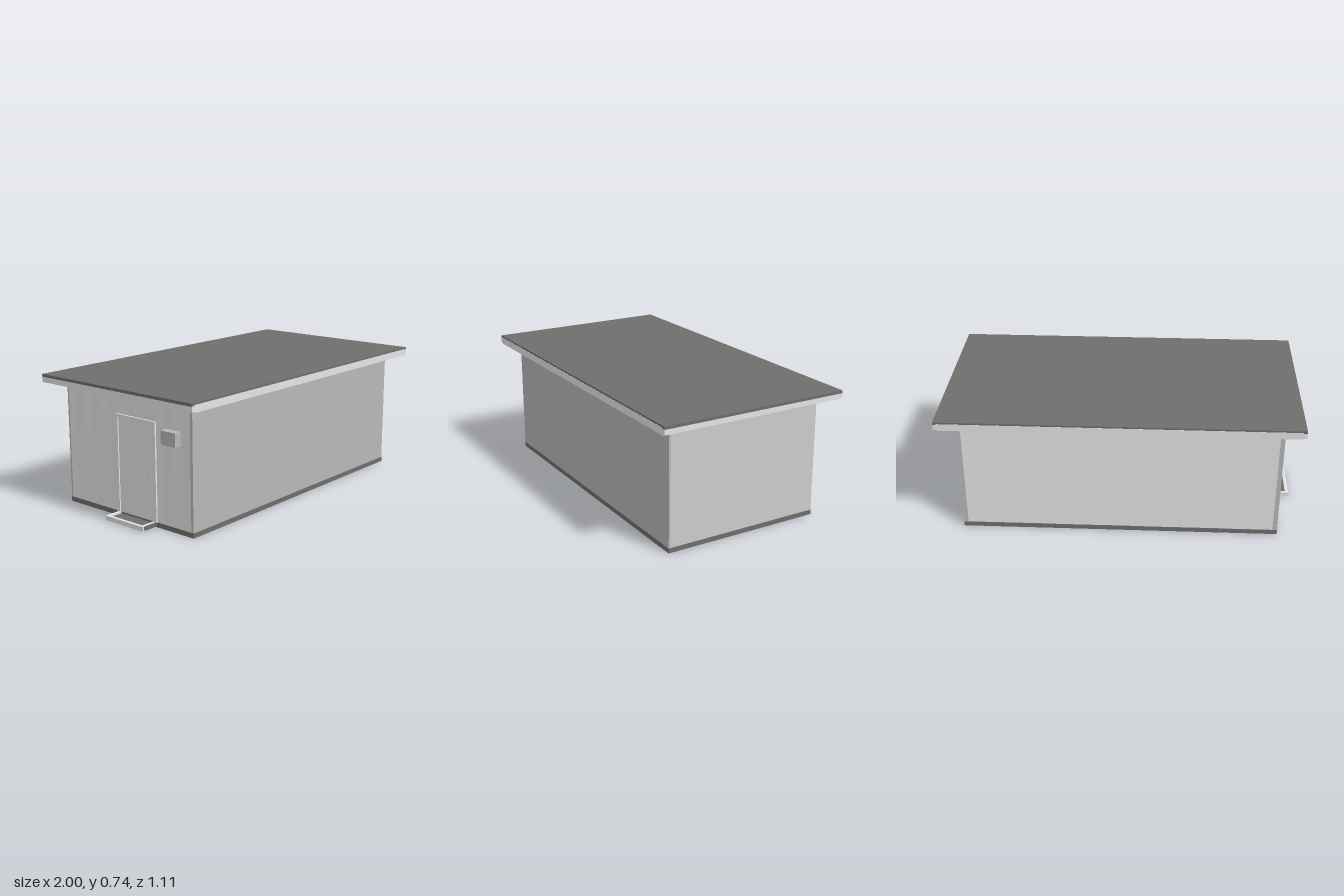
import * as THREE from 'three';

export function createModel() {
  const g = new THREE.Group();
  const mat = (name, color) => {
    const m = new THREE.MeshStandardMaterial({ color });
    m.name = name;
    return m;
  };
  const light = mat('light grey cladding', 0xe4e4e4);
  const pale = mat('pale grey end wall', 0xcdcdcd);
  const mid = mat('mid grey wall', 0xb8b8b8);
  const dark = mat('dark grey roofing', 0x706e6c);

  // box given by its min and max corners
  const box = (name, m, [x0, y0, z0], [x1, y1, z1], parent = g) => {
    const mesh = new THREE.Mesh(new THREE.BoxGeometry(x1 - x0, y1 - y0, z1 - z0), m);
    mesh.position.set((x0 + x1) / 2, (y0 + y1) / 2, (z0 + z1) / 2);
    mesh.name = name;
    parent.add(mesh);
    return mesh;
  };

  // sheet with very shallow vertical ribs, facing +z before rotation
  const ribbed = (name, width, ribs) => {
    const geo = new THREE.PlaneGeometry(width, 0.664, ribs * 8, 1);
    const p = geo.attributes.position;
    for (let i = 0; i < p.count; i++) {
      p.setZ(i, -0.0006 * (1 - Math.cos((p.getX(i) / width + 0.5) * ribs * Math.PI * 2)));
    }
    geo.computeVertexNormals();
    const mesh = new THREE.Mesh(geo, light);
    mesh.name = name;
    mesh.position.y = 0.36;
    g.add(mesh);
    return mesh;
  };

  // dark plinth with a light floor plate on its underside
  box('base', dark, [-0.9, 0.0005, -0.465], [0.901, 0.028, 0.466]);
  box('floorPlate', light, [-0.888, 0, -0.453], [0.888, 0.01, 0.453]);

  // walls
  box('wallCore', mid, [-0.895, 0.028, -0.458], [0.895, 0.692, 0.465]);
  box('frontWallEdge', mid, [0.89, 0.028, 0.455], [0.9, 0.692, 0.465]);
  box('endWall', pale, [0.89, 0.028, -0.464], [0.9, 0.692, 0.455]);
  const back = ribbed('backCladding', 1.79, 14);
  back.rotation.y = Math.PI;
  back.position.z = -0.463;
  const side = ribbed('doorSideCladding', 0.92, 7);
  side.rotation.y = -Math.PI / 2;
  side.position.x = -0.899;

  // corner trims
  for (const s of [-1, 1]) {
    box('backCornerTrim', mid, [s * 0.887 - 0.012, 0.028, -0.465], [s * 0.887 + 0.012, 0.692, -0.455]);
  }
  box('frontCornerTrim', mid, [-0.901, 0.028, 0.45], [-0.89, 0.692, 0.465]);

  // roof: slab, light soffit and four fascia boards
  box('roofSlab', dark, [-1, 0.724, -0.553], [1, 0.74, 0.553]);
  box('soffit', light, [-0.98, 0.691, -0.542], [0.98, 0.724, 0.542]);
  for (const s of [-1, 1]) {
    box('longFascia', light, [-0.98, 0.69, s * 0.547 - 0.007], [0.98, 0.73, s * 0.547 + 0.007]);
    box('endFascia', light, [s * 0.99 - 0.01, 0.695, -0.554], [s * 0.99 + 0.01, 0.725, 0.554]);
  }

  // door with frame and handle
  const door = new THREE.Group();
  door.name = 'door';
  g.add(door);
  box('doorLeaf', light, [-0.901, 0.028, -0.07], [-0.89, 0.56, 0.2], door);
  for (const z of [-0.08, 0.195]) {
    box('doorJamb', light, [-0.908, 0.028, z], [-0.89, 0.575, z + 0.015], door);
  }
  box('doorHead', light, [-0.908, 0.56, -0.065], [-0.89, 0.575, 0.195], door);
  box('doorHandle', mid, [-0.907, 0.275, 0.152], [-0.9, 0.29, 0.16], door);

  // wall box beside the door
  box('wallUnit', mid, [-0.94, 0.475, 0.283], [-0.89, 0.55, 0.382]);

  // doorstep: raised rim around a sunken grate
  const step = new THREE.Group();
  step.name = 'doorstep';
  g.add(step);
  box('stepGrate', dark, [-0.982, 0.008, -0.062], [-0.9, 0.018, 0.18], step);
  box('stepOuterRim', light, [-1, 0.003, -0.08], [-0.982, 0.028, 0.2], step);
  box('stepBackRim', light, [-0.982, 0.003, -0.08], [-0.9, 0.028, -0.062], step);
  box('stepFrontRim', light, [-0.982, 0.003, 0.18], [-0.9, 0.028, 0.197], step);
  box('stepFrontFace', dark, [-0.99, 0.004, 0.196], [-0.9, 0.027, 0.201], step);

  return g;
}
